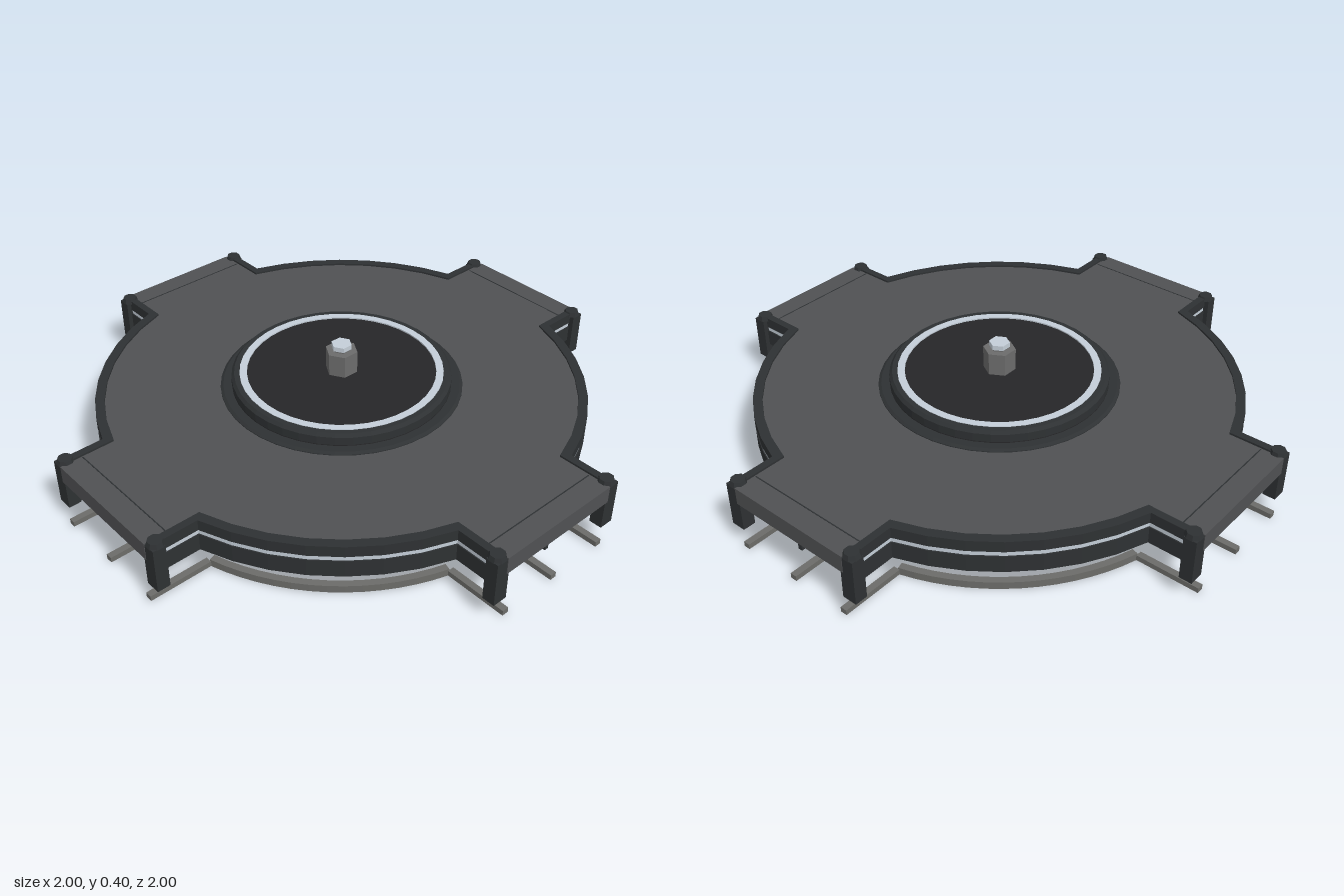
import * as THREE from 'three';

const mat = (color) => new THREE.MeshStandardMaterial({ color, flatShading: true });

export function createModel() {
  const model = new THREE.Group();
  const deckMat = mat(0x505153), darkMat = mat(0x2e3133), lightMat = mat(0xc4ced8);
  const discMat = mat(0x262628), railMat = mat(0x6c6c69), hubMat = mat(0x6c6c6c);

  const add = (name, geometry, material, parent = model) => {
    const mesh = new THREE.Mesh(geometry, material);
    mesh.name = name;
    parent.add(mesh);
    return mesh;
  };
  const box = (name, x0, x1, y0, y1, z0, z1, material, parent) =>
    add(name, new THREE.BoxGeometry(x1 - x0, y1 - y0, z1 - z0)
      .translate((x0 + x1) / 2, (y0 + y1) / 2, (z0 + z1) / 2), material, parent);
  // Extrude a plan outline upwards between two heights
  const slab = (shape, y0, y1) =>
    new THREE.ExtrudeGeometry(shape, { depth: y1 - y0, bevelEnabled: false, curveSegments: 32 })
      .rotateX(-Math.PI / 2).translate(0, y0, 0);
  const lathe = (pts, sides = 40) =>
    new THREE.LatheGeometry(pts.map(([r, y]) => new THREE.Vector2(r, y)), sides);
  const arcPoints = (r, a, b, n) => Array.from({ length: n + 1 }, (_, i) => {
    const t = a + (b - a) * i / n;
    return new THREE.Vector2(r * Math.cos(t), r * Math.sin(t));
  });
  // Plan outline of a curved bar between two radii
  const barShape = (r0, r1, a, b, n) =>
    new THREE.Shape([...arcPoints(r1, a, b, n), ...arcPoints(r0, b, a, n)]);

  const RIN = 0.833, ROUT = 0.866, WIN = 0.24, WOUT = 0.267;
  const HALF = Math.PI / 2, join = Math.asin(WIN / RIN);

  // Thin round deck, cut straight where the four arms join
  const outline = [];
  for (let q = 0; q < 4; q++)
    outline.push(...arcPoints(RIN, q * HALF + join, (q + 1) * HALF - join, 7));
  const deckShape = new THREE.Shape(outline);
  deckShape.holes.push(new THREE.Path().absarc(0, 0, 0.41, 0, Math.PI * 2, true));
  add('deck', slab(deckShape, 0.175, 0.243), deckMat);

  // Outline of one curb quarter, running between two neighbouring arms
  const curbShape = (rOut, wOut) => {
    const a = Math.asin(wOut / rOut);
    return new THREE.Shape([
      new THREE.Vector2(0.97, WIN), new THREE.Vector2(0.97, wOut),
      ...arcPoints(rOut, a, HALF - a, 7),
      new THREE.Vector2(wOut, 0.97), new THREE.Vector2(WIN, 0.97),
      ...arcPoints(RIN, HALF - join, join, 7),
    ]);
  };

  // Everything that repeats at quarter turns
  for (let q = 0; q < 4; q++) {
    const quarter = new THREE.Group();
    quarter.name = 'quarter' + (q + 1);
    quarter.rotation.y = q * HALF;
    model.add(quarter);

    add('curbLower', slab(curbShape(ROUT, WOUT), 0.13, 0.192), darkMat, quarter);
    add('lightStrip', slab(curbShape(ROUT - 0.004, WOUT - 0.004), 0.192, 0.21), lightMat, quarter);
    add('curbUpper', slab(curbShape(ROUT, WOUT), 0.21, 0.25), darkMat, quarter);

    // Thin arm with a seam, a skirt beneath its root and a hanging fin
    box('arm', 0.79, 1, 0.18, 0.243, -WIN, WIN, deckMat, quarter);
    box('armSeam', 0.917, 0.921, 0.235, 0.244, -0.235, 0.235, darkMat, quarter);
    add('skirt', slab(barShape(0.815, RIN, -join, join, 4), 0.13, 0.18), darkMat, quarter);
    box('fin', 0.6, 0.96, 0.1, 0.18, -0.008, 0.008, darkMat, quarter);

    // Corner posts with chamfered caps
    for (const z of [-0.257, 0.257]) {
      box('post', 0.952, 0.998, 0.075, 0.24, z - 0.027, z + 0.027, darkMat, quarter);
      add('postCap', new THREE.CylinderGeometry(0.025, 0.031, 0.018, 8)
        .rotateY(Math.PI / 8).translate(0.971, 0.247, z), darkMat, quarter);
    }

    // Floor rails under the arm
    for (const z of [-0.226, 0, 0.226])
      box('armRail', 0.77, 1, 0.003, 0.022, z - 0.012, z + 0.012, railMat, quarter);

    // Curved floor rail between arms
    const start = 16.8 * Math.PI / 180;
    add('curvedRail', slab(barShape(0.78, 0.805, start, HALF - start, 14), 0, 0.027), railMat, quarter);
  }

  // Full circular floor rail
  add('ringRail', lathe([[0.593, 0], [0.618, 0], [0.618, 0.025], [0.593, 0.025], [0.593, 0]], 48), railMat);

  // Collar around the turntable
  add('collar', lathe([[0.39, 0.17], [0.43, 0.17], [0.43, 0.246], [0.42, 0.252], [0.39, 0.252], [0.39, 0.17]]), darkMat);

  // Turntable with rim, light ring and inner disc
  add('turntable', lathe([[0, 0.235], [0.388, 0.235], [0.388, 0.283], [0.378, 0.292], [0, 0.292]]), discMat);
  add('turntableRim', lathe([[0.362, 0.285], [0.39, 0.255], [0.39, 0.285], [0.38, 0.296], [0.362, 0.296], [0.362, 0.285]]), darkMat);
  add('lightRing', lathe([[0.335, 0.29], [0.361, 0.29], [0.361, 0.297], [0.335, 0.297], [0.335, 0.29]]), lightMat);

  // Hexagonal hub and its tip
  add('hub', new THREE.CylinderGeometry(0.058, 0.058, 0.085, 6).translate(0, 0.332, 0), hubMat);
  add('hubNeck', new THREE.CylinderGeometry(0.031, 0.031, 0.012, 6).translate(0, 0.379, 0), hubMat);
  add('hubTip', new THREE.CylinderGeometry(0.037, 0.037, 0.018, 6).translate(0, 0.391, 0), lightMat);

  return model;
}
